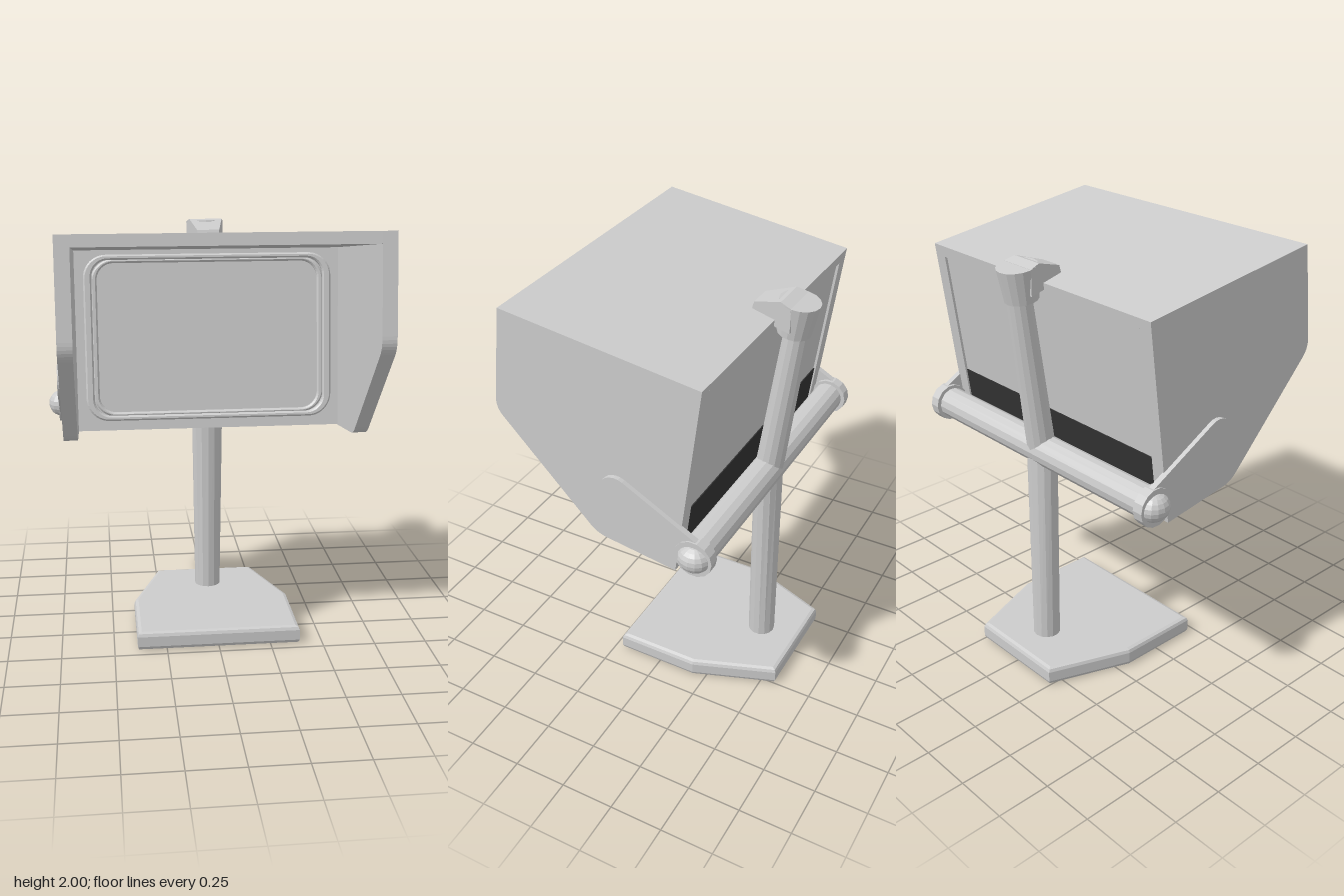
import * as THREE from 'three';

const TILT = -0.135; // lean of the panel and upper post

export function createModel() {
  const root = new THREE.Group();
  const grey = new THREE.MeshStandardMaterial({ color: 0xcccccc, flatShading: true });
  const dark = new THREE.MeshStandardMaterial({ color: 0x333333, flatShading: true });

  const add = (name, geo, mat = grey, parent = root) => {
    const mesh = new THREE.Mesh(geo, mat);
    mesh.name = name;
    parent.add(mesh);
    return mesh;
  };
  const poly = (pts) => new THREE.Shape(pts.map((p) => new THREE.Vector2(p[0], p[1])));

  // Extrudes a (z, y) profile along x between x0 and x1
  const sideExtrude = (shape, x0, x1) => {
    const g = new THREE.ExtrudeGeometry(shape, { depth: x1 - x0, bevelEnabled: false, curveSegments: 6 });
    return g.rotateY(-Math.PI / 2).translate(x1, 0, 0);
  };
  const roundedRect = (Type, hw, hh, r) => {
    const s = new Type();
    s.absarc(hw - r, hh - r, r, 0, Math.PI / 2);
    s.absarc(-hw + r, hh - r, r, Math.PI / 2, Math.PI);
    s.absarc(-hw + r, -hh + r, r, Math.PI, Math.PI * 1.5);
    s.absarc(hw - r, -hh + r, r, Math.PI * 1.5, Math.PI * 2);
    s.closePath();
    return s;
  };
  const backZ = (y) => -0.28 - 0.136 * (y - 0.96);

  // Base: bevelled hexagonal slab
  const b = 0.02;
  const baseShape = poly([[-0.37, -0.19], [0.37, -0.19], [0.37, 0.185], [0.235, 0.55], [-0.235, 0.55], [-0.37, 0.185]]);
  const baseGeo = new THREE.ExtrudeGeometry(baseShape, {
    depth: 0.05, bevelThickness: b, bevelSize: b, bevelSegments: 2,
  });
  add('base', baseGeo.rotateX(-Math.PI / 2).translate(0, b, 0));

  // Lower post, widening upward across x only
  const post = new THREE.CylinderGeometry(0.064, 0.064, 1.0, 14);
  const pp = post.attributes.position;
  for (let i = 0; i < pp.count; i++) pp.setX(i, pp.getX(i) * (1.11 + 0.2 * pp.getY(i)));
  add('lowerPost', post.translate(0, 0.58, -0.375));

  // Leaning upper post with its cap
  const upper = new THREE.Group();
  upper.name = 'upperPost';
  upper.position.set(0, 1.08, -0.377);
  upper.rotation.x = TILT;
  root.add(upper);
  add('upperPostShaft', new THREE.CylinderGeometry(0.055, 0.065, 0.8, 14).translate(0, 0.4, 0), grey, upper);
  add('postCap', new THREE.CylinderGeometry(0.09, 0.075, 0.15, 16).translate(0, 0.805, 0.012), grey, upper);

  // Hook reaching from the cap over the hood, narrowing forward
  const hook = sideExtrude(
    poly([[-0.48, 1.955], [-0.48, 1.84], [-0.4, 1.85], [-0.3, 1.875], [-0.29, 1.9], [-0.3, 1.93], [-0.43, 1.97]]),
    -0.085, 0.085);
  const hp = hook.attributes.position;
  for (let i = 0; i < hp.count; i++) {
    hp.setX(i, hp.getX(i) * THREE.MathUtils.mapLinear(hp.getZ(i), -0.46, -0.29, 1, 0.6));
  }
  add('capHook', hook);

  // Hood side walls
  const wall = new THREE.Shape();
  wall.moveTo(0.515, 2.0);
  wall.lineTo(-0.405, 1.88);
  wall.lineTo(-0.28, 0.96);
  wall.lineTo(0.06, 1.01);
  wall.quadraticCurveTo(0.11, 1.02, 0.14, 1.055);
  wall.lineTo(0.55, 1.485);
  wall.quadraticCurveTo(0.58, 1.52, 0.573, 1.57);
  wall.closePath();
  add('hoodWallLeft', sideExtrude(wall, 0.642, 0.707));
  add('hoodWallRight', sideExtrude(wall, -0.707, -0.642));

  // Hood roof
  add('hoodRoof', sideExtrude(
    poly([[0.515, 2.0], [-0.405, 1.88], [-0.398, 1.828], [0.522, 1.948]]), -0.642, 0.642));

  // Back panel
  const panelZ = (y, d) => [backZ(y) + d, y];
  add('backPanel', sideExtrude(
    poly([panelZ(1.86, 0.012), panelZ(0.97, 0.012), panelZ(0.97, 0.045), panelZ(1.86, 0.045)]), -0.642, 0.642));

  // Dark strip along the bottom of the panel's back
  add('rearVent', sideExtrude(
    poly([panelZ(1.25, 0.007), panelZ(0.99, 0.007), panelZ(0.99, 0.014), panelZ(1.25, 0.014)]), -0.64, 0.64), dark);

  // Stepped rounded frame around the screen
  const frame = new THREE.Group();
  frame.name = 'screenFrame';
  frame.position.set(0, 1.415, backZ(1.415) + 0.043);
  frame.rotation.x = TILT;
  root.add(frame);
  const ring = (name, ow, oh, iw, ih, dy, depth) => {
    const s = roundedRect(THREE.Shape, ow, oh, 0.11);
    s.holes.push(roundedRect(THREE.Path, iw, ih, 0.08));
    const g = new THREE.ExtrudeGeometry(s, {
      depth, bevelThickness: 0.008, bevelSize: 0.008, bevelOffset: -0.008, bevelSegments: 1, curveSegments: 5,
    });
    add(name, g.translate(0, dy, 0), grey, frame);
  };
  ring('outerFrame', 0.6, 0.4, 0.56, 0.375, 0, 0.025);
  ring('innerFrame', 0.565, 0.38, 0.535, 0.36, 0, 0.012);

  // Pivot bar
  add('pivotBar', new THREE.CylinderGeometry(0.072, 0.072, 1.4, 14).rotateZ(Math.PI / 2).translate(0, 1.08, -0.375));

  // Arms: rounded links from the bar forward to the walls, with collars and knobs
  const a = Math.atan2(0.2, 0.375);
  const arm = new THREE.Shape();
  arm.absarc(-0.01, 1.28, 0.08, a - Math.PI / 2, a + Math.PI / 2);
  arm.absarc(-0.375, 1.08, 0.082, a + Math.PI / 2, a + Math.PI * 1.5);
  arm.closePath();
  for (const [side, s] of [['Left', 1], ['Right', -1]]) {
    add('arm' + side, sideExtrude(arm, s > 0 ? 0.7 : -0.728, s > 0 ? 0.728 : -0.7));
    add('collar' + side, new THREE.CylinderGeometry(0.088, 0.088, 0.05, 14)
      .rotateZ(Math.PI / 2).translate(s * 0.71, 1.08, -0.378));
    add('knob' + side, new THREE.SphereGeometry(1, 14, 10)
      .scale(0.062, 0.063, 0.073).translate(s * 0.724, 1.08, -0.38));
  }
  return root;
}
